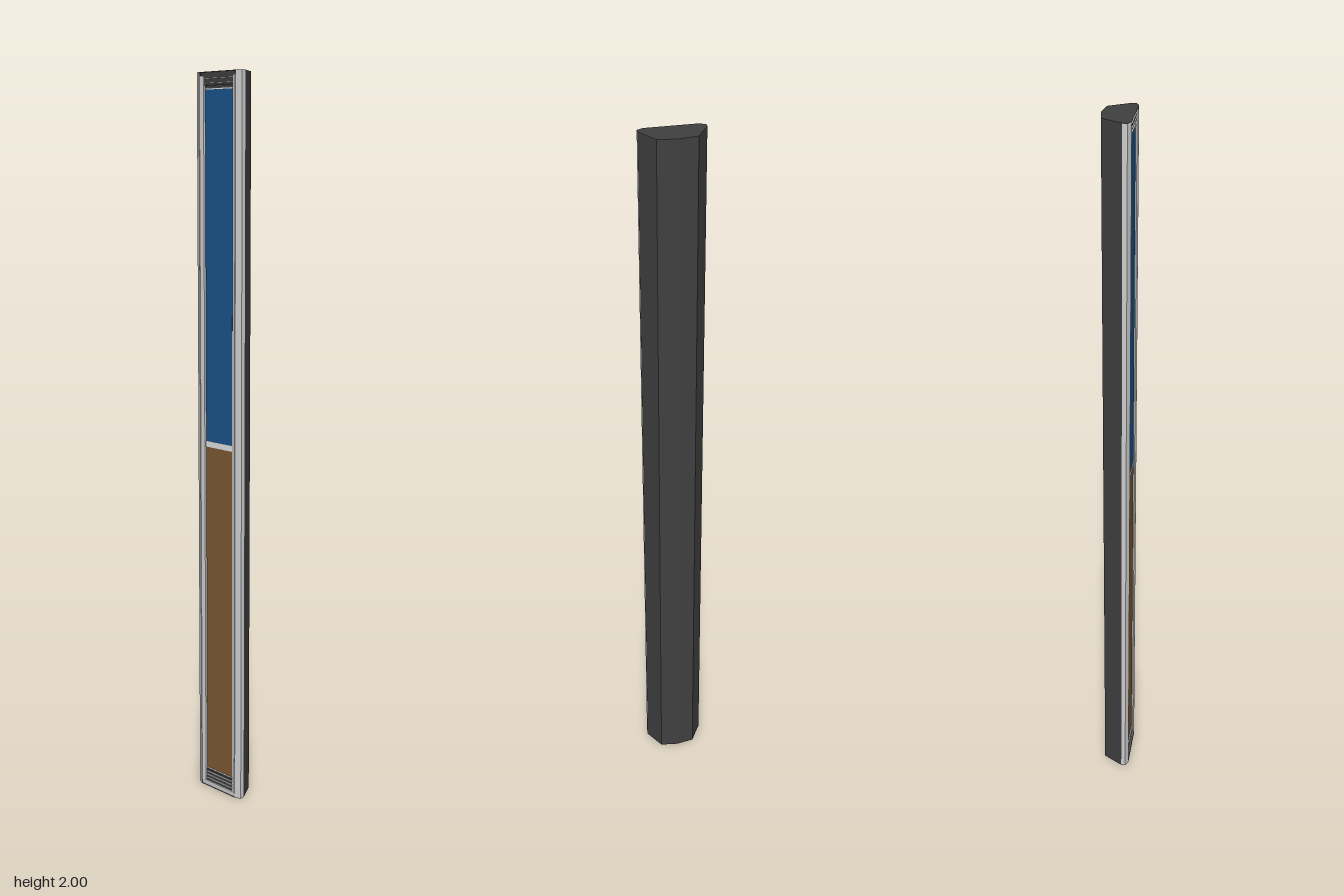
import * as THREE from 'three';

const material = (name, color) => {
  const m = new THREE.MeshStandardMaterial({ color });
  m.name = name;
  return m;
};

export function createModel() {
  const group = new THREE.Group();
  group.name = 'panelColumn';

  const dark = material('charcoal', 0x404040);
  const light = material('lightGrey', 0xcccccc);
  const blue = material('blue', 0x1a548c);
  const brown = material('brown', 0x805a33);
  const pale = material('paleGrey', 0xe4e6e8);

  function add(name, geometry, mat) {
    const mesh = new THREE.Mesh(geometry, mat);
    mesh.name = name;
    group.add(mesh);
    return mesh;
  }

  // Upright prism from an [x, z] outline
  function prism(name, outline, y0, y1, mat) {
    const shape = new THREE.Shape(outline.map(([x, z]) => new THREE.Vector2(x, -z)));
    const g = new THREE.ExtrudeGeometry(shape, { depth: y1 - y0, bevelEnabled: false });
    g.rotateX(-Math.PI / 2);
    g.translate(0, y0, 0);
    return add(name, g, mat);
  }

  // Box spanning the given ranges, centred on x = 0
  function plate(name, width, y0, y1, z0, z1, mat) {
    const g = new THREE.BoxGeometry(width, y1 - y0, z1 - z0);
    g.translate(0, (y0 + y1) / 2, (z0 + z1) / 2);
    return add(name, g, mat);
  }

  // Housing with a shallow ridge down the back
  prism('housing', [
    [-0.083, 0.02], [-0.05, -0.035], [0, -0.042],
    [0.05, -0.035], [0.083, 0.02], [0.08, 0.026], [-0.08, 0.026],
  ], 0, 2, dark);

  // Side frame: chamfered rail, thin dark groove, inner lip
  for (const [side, s] of [['left', 1], ['right', -1]]) {
    prism(side + 'Rail', [
      [0.083 * s, 0.02], [0.083 * s, 0.032], [0.067 * s, 0.04], [0.067 * s, 0.02],
    ], 0.001, 1.999, light);
    prism(side + 'Groove', [
      [0.067 * s, 0.02], [0.067 * s, 0.038], [0.065 * s, 0.038], [0.065 * s, 0.02],
    ], 0.001, 1.999, dark);
    prism(side + 'Lip', [
      [0.065 * s, 0.02], [0.065 * s, 0.04], [0.053 * s, 0.037], [0.053 * s, 0.02],
    ], 0.012, 1.99, light);
  }

  // Thin dark caps over both ends of the frame
  const capOutline = [
    [-0.083, 0.02], [-0.083, 0.032], [-0.067, 0.04],
    [0.067, 0.04], [0.083, 0.032], [0.083, 0.02],
  ];
  prism('topCap', capOutline, 1.999, 2, dark);
  prism('bottomCap', capOutline, 0, 0.001, dark);

  // Two coloured panels and the divider between them
  plate('panelBacking', 0.107, 0.048, 1.965, 0.02, 0.031, dark);
  plate('upperPanel', 0.1, 1.02, 1.955, 0.03, 0.034, blue);
  plate('lowerPanel', 0.1, 0.055, 1.004, 0.03, 0.034, brown);
  plate('divider', 0.1, 1.004, 1.02, 0.03, 0.035, pale);
  plate('upperEdge', 0.1, 1.955, 1.959, 0.03, 0.035, pale);
  plate('lowerEdge', 0.1, 0.051, 0.055, 0.03, 0.035, pale);

  // Slatted vents at both ends
  plate('bottomSill', 0.13, 0.001, 0.014, 0.02, 0.038, light);
  plate('bottomVent', 0.107, 0.014, 0.048, 0.02, 0.034, dark);
  plate('topVent', 0.13, 1.965, 1.999, 0.02, 0.034, dark);
  for (const y of [0.02, 0.03, 0.04]) {
    plate('bottomSlat', 0.1, y, y + 0.004, 0.03, 0.037, light);
  }
  for (const y of [1.97, 1.982]) {
    plate('topSlat', 0.1, y, y + 0.003, 0.03, 0.037, light);
  }

  return group;
}
